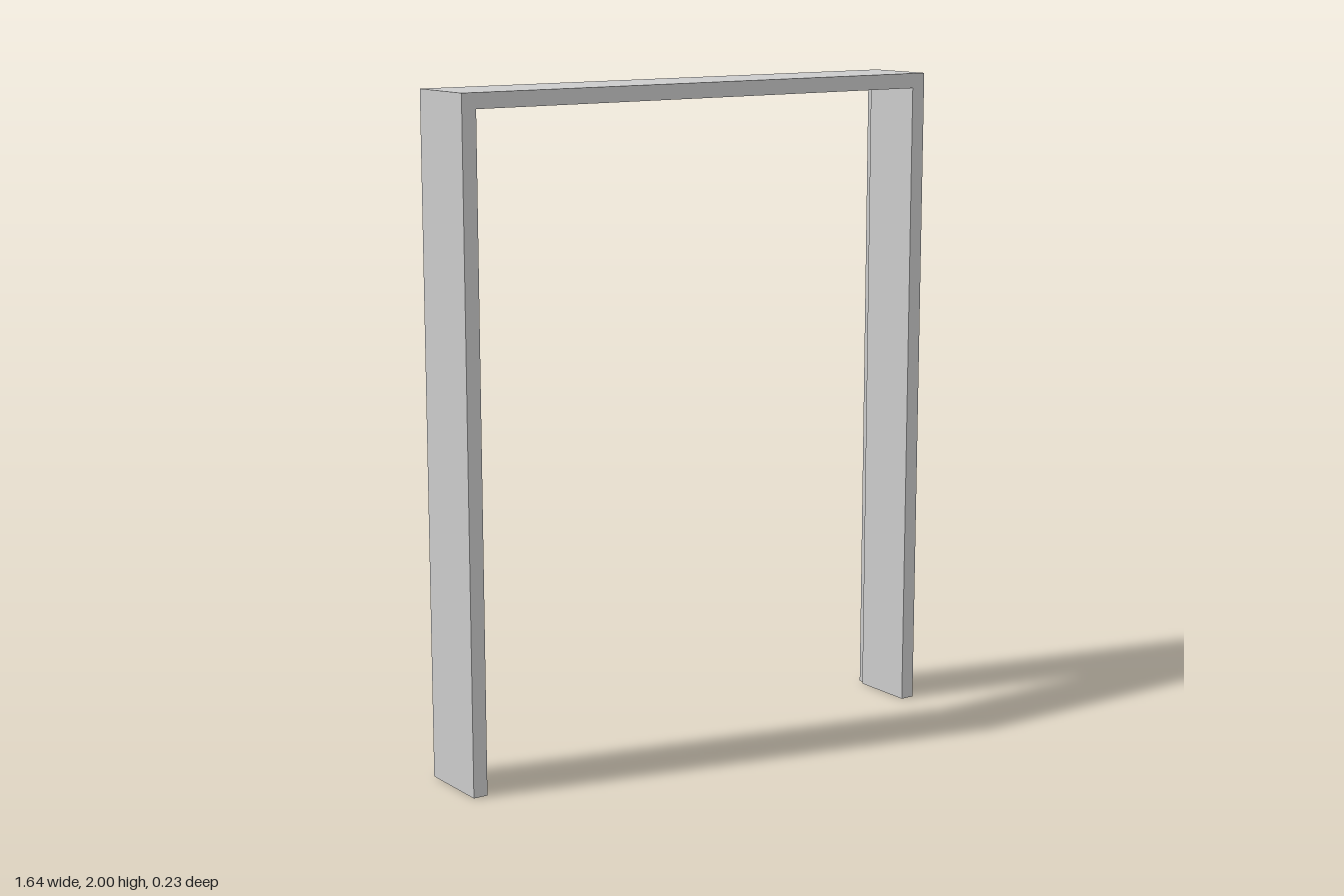
import * as THREE from 'three';

const HALF_W = 0.82, HEIGHT = 2, HALF_D = 0.114;
const FACE = 0.045;                     // thickness at the front
const BACK = 0.033;                     // thickness behind the rebate
const STEP = -HALF_D + 0.028;           // z of the rebate step

// L-shaped profile: [inset from the outer edge, z]
const PROFILE = [
  [0, HALF_D], [0, -HALF_D], [BACK, -HALF_D],
  [BACK, STEP], [FACE, STEP], [FACE, HALF_D],
];

// Mitred stations along the frame: side of x, and whether at the top
const STATIONS = [[-1, 0], [-1, 1], [1, 1], [1, 0]];

const section = ([side, top]) => PROFILE.map(([d, z]) =>
  [side * (HALF_W - d), top ? HEIGHT - d : 0, z]);

// One length of moulding between two neighbouring stations
function moulding(name, index, material) {
  const a = section(STATIONS[index]);
  const b = section(STATIONS[index + 1]);
  const pos = [];
  const tri = (...points) => points.forEach((p) => pos.push(...p));

  for (let i = 0; i < a.length; i++) {
    const j = (i + 1) % a.length;
    tri(a[i], b[i], a[j]);
    tri(a[j], b[i], b[j]);
  }

  // Close the foot of each jamb, fanning from the inner corner of the L
  for (const [p, q] of [[4, 5], [5, 0], [0, 1], [1, 2]]) {
    if (index === 0) tri(a[3], a[p], a[q]);
    if (index === 2) tri(b[3], b[q], b[p]);
  }

  const geometry = new THREE.BufferGeometry();
  geometry.setAttribute('position', new THREE.Float32BufferAttribute(pos, 3));
  geometry.computeVertexNormals();
  const mesh = new THREE.Mesh(geometry, material);
  mesh.name = name;
  return mesh;
}

export function createModel() {
  const group = new THREE.Group();
  group.name = 'doorFrame';
  const material = new THREE.MeshStandardMaterial({ color: 0xcccccc, flatShading: true });
  ['rightJamb', 'head', 'leftJamb'].forEach((name, i) =>
    group.add(moulding(name, i, material)));
  return group;
}
